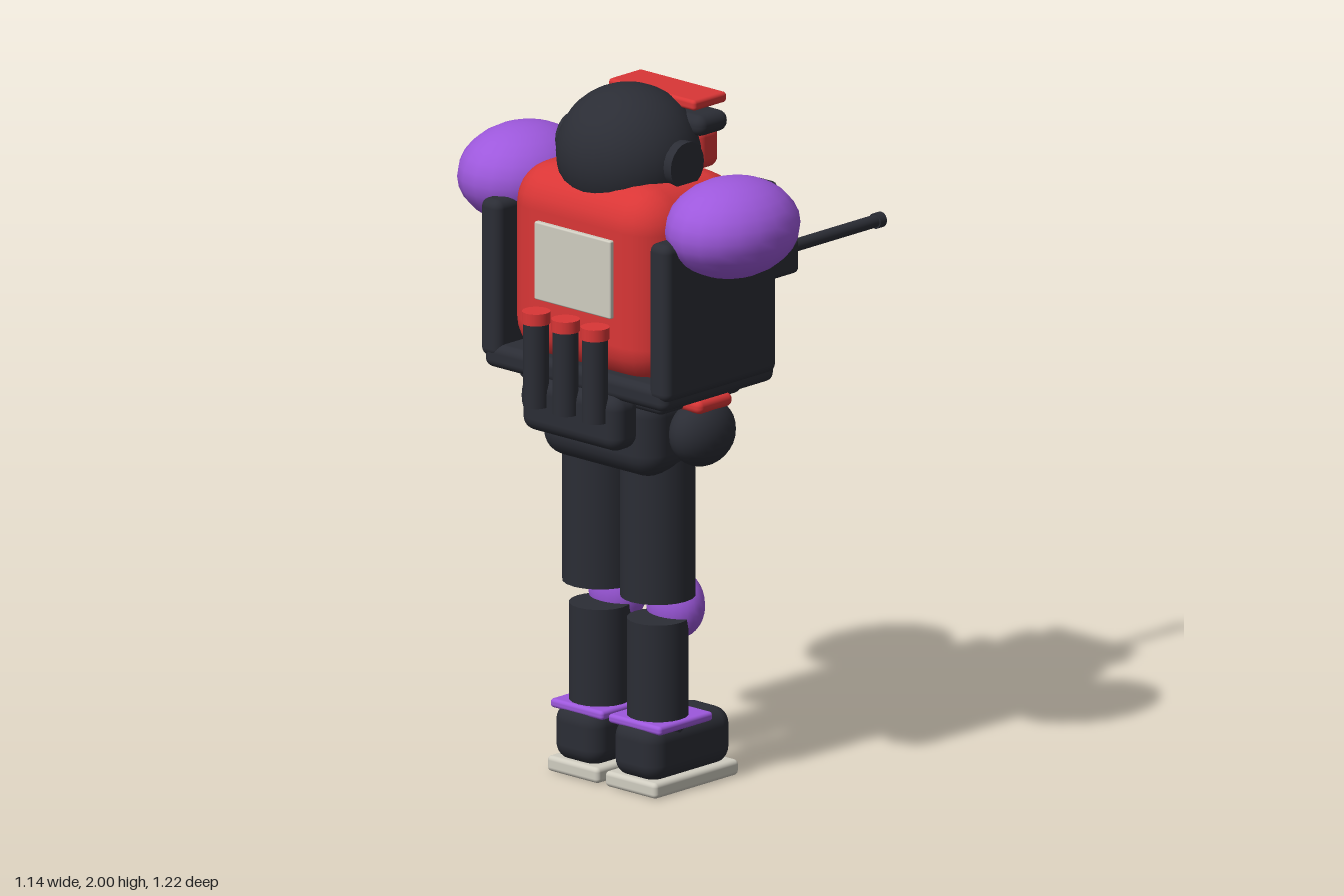
import * as THREE from 'three';
import { RoundedBoxGeometry } from 'three/addons/geometries/RoundedBoxGeometry.js';

const material = (name, color) => {
  const m = new THREE.MeshStandardMaterial({ color });
  m.name = name;
  return m;
};

export function createModel() {
  const dark = material('charcoal armour', 0x2b2d35);
  const red = material('red armour', 0xd93636);
  const purple = material('purple trim', 0x9d58dc);
  const bone = material('pale grey', 0xcfccc0);

  const model = new THREE.Group();
  model.name = 'armouredTrooper';

  function group(name, parent = model) {
    const g = new THREE.Group();
    g.name = name;
    parent.add(g);
    return g;
  }
  function add(parent, name, geometry, mat, x, y, z) {
    const mesh = new THREE.Mesh(geometry, mat);
    mesh.name = name;
    mesh.position.set(x, y, z);
    parent.add(mesh);
    return mesh;
  }
  // Rounded box given by its extents on each axis
  function box(parent, name, mat, [x0, x1], [y0, y1], [z0, z1], r) {
    const geo = new RoundedBoxGeometry(x1 - x0, y1 - y0, z1 - z0, 3, r);
    return add(parent, name, geo, mat, (x0 + x1) / 2, (y0 + y1) / 2, (z0 + z1) / 2);
  }
  function ellipsoid(parent, name, mat, [x, y, z], [rx, ry, rz], w = 24, h = 16) {
    const geo = new THREE.SphereGeometry(1, w, h).scale(rx, ry, rz);
    return add(parent, name, geo, mat, x, y, z);
  }
  function cylinder(parent, name, mat, [x, y, z], r, length, axis = 'y') {
    const geo = new THREE.CylinderGeometry(r, r, length, 20);
    if (axis === 'x') geo.rotateZ(Math.PI / 2);
    if (axis === 'z') geo.rotateX(Math.PI / 2);
    return add(parent, name, geo, mat, x, y, z);
  }

  // Torso, with the chest armour toward -z and the power pack toward +z
  const torso = group('torso');
  box(torso, 'torsoShell', red, [-0.29, 0.29], [1.2, 1.77], [0.105, 0.53], 0.12);
  box(torso, 'chestPlate', dark, [-0.245, 0.245], [1.47, 1.69], [0.065, 0.115], 0.02);
  box(torso, 'chestStripe', purple, [-0.245, 0.245], [1.46, 1.5], [0.055, 0.085], 0.012);
  box(torso, 'backPlate', bone, [-0.145, 0.145], [1.4, 1.625], [0.52, 0.544], 0.005);
  box(torso, 'waistRim', dark, [-0.345, 0.345], [1.165, 1.235], [0.085, 0.54], 0.025);

  // Power pack pipes
  for (const x of [-0.112, 0, 0.112]) {
    cylinder(torso, 'exhaustPipe', dark, [x, 1.235, 0.57], 0.036, 0.26);
    cylinder(torso, 'exhaustCap', red, [x, 1.362, 0.57], 0.04, 0.034);
  }

  // Hips
  const hips = group('hips');
  box(hips, 'belt', dark, [-0.275, 0.275], [1.13, 1.18], [0.145, 0.475], 0.02);
  box(hips, 'buckle', bone, [-0.035, 0.035], [1.135, 1.17], [0.138, 0.16], 0.005);
  box(hips, 'pelvis', dark, [-0.22, 0.22], [0.92, 1.17], [0.16, 0.465], 0.07);
  box(hips, 'rearPouch', dark, [-0.187, 0.187], [1.02, 1.18], [0.46, 0.565], 0.04);

  // Head
  const head = group('head');
  ellipsoid(head, 'helmet', dark, [0, 1.805, 0.315], [0.205, 0.195, 0.2], 28, 20);
  box(head, 'facePlate', red, [-0.165, 0.165], [1.755, 1.88], [0.115, 0.21], 0.03);
  box(head, 'visor', purple, [-0.13, 0.13], [1.8, 1.878], [0.1, 0.13], 0.014);
  box(head, 'brow', dark, [-0.2, 0.2], [1.865, 1.925], [0.115, 0.238], 0.028);
  box(head, 'peak', red, [-0.165, 0.165], [1.935, 1.965], [0.092, 0.225], 0.01);
  for (const x of [-0.045, 0.045]) {
    cylinder(head, 'breathingHose', dark, [x, 1.72, 0.125], 0.022, 0.12);
  }

  // Mirrored parts
  for (const [side, s] of [['left', 1], ['right', -1]]) {
    const span = (a, b) => (s > 0 ? [a, b] : [-b, -a]);

    cylinder(head, side + 'EarDisc', dark, [s * 0.195, 1.81, 0.312], 0.067, 0.05, 'x');

    const arm = group(side + 'Shoulder');
    ellipsoid(arm, 'shoulderPad', purple, [s * 0.395, 1.67, 0.315], [0.173, 0.14, 0.205], 20, 14);
    box(arm, 'sidePlate', dark, span(0.283, 0.358), [1.195, 1.65], [0.09, 0.542], 0.025);

    ellipsoid(hips, side + 'HipPouch', dark, [s * 0.28, 1.055, 0.315], [0.078, 0.097, 0.108]);
    box(hips, side + 'PouchCap', red, span(0.245, 0.335), [1.125, 1.165], [0.245, 0.385], 0.018);

    const leg = group(side + 'Leg');
    const x = s * 0.11;
    cylinder(leg, 'thigh', dark, [x, 0.76, 0.315], 0.105, 0.42);
    ellipsoid(leg, 'kneeGuard', purple, [x, 0.51, 0.243], [0.092, 0.1, 0.07]);
    cylinder(leg, 'shin', dark, [x, 0.32, 0.315], 0.086, 0.33);
    box(leg, 'ankleBand', purple, span(0.01, 0.21), [0.18, 0.206], [0.195, 0.412], 0.01);
    box(leg, 'boot', dark, span(0.025, 0.2), [0.035, 0.2], [0.095, 0.425], 0.05);
    box(leg, 'sole', bone, span(0.012, 0.208), [0, 0.045], [0.088, 0.428], 0.013);
  }

  // Gun held forward along -z
  const gun = group('gun');
  const gx = 0.088;
  box(gun, 'gunBody', dark, [gx - 0.034, gx + 0.034], [1.358, 1.46], [-0.25, 0.08], 0.018);
  cylinder(gun, 'barrel', dark, [gx, 1.428, -0.42], 0.018, 0.36, 'z');
  cylinder(gun, 'muzzle', dark, [gx, 1.428, -0.597], 0.022, 0.026, 'z');
  ellipsoid(gun, 'gunTank', red, [gx, 1.545, -0.088], [0.092, 0.084, 0.136]);
  box(gun, 'topSight', dark, [gx - 0.04, gx + 0.04], [1.59, 1.645], [-0.155, -0.02], 0.015);
  const grip = box(gun, 'grip', dark, [gx - 0.025, gx + 0.025], [1.245, 1.385], [0, 0.05], 0.012);
  grip.rotation.x = -0.22;
  ellipsoid(gun, 'hand', bone, [gx, 1.275, 0.095], [0.045, 0.045, 0.045]);

  return model;
}
